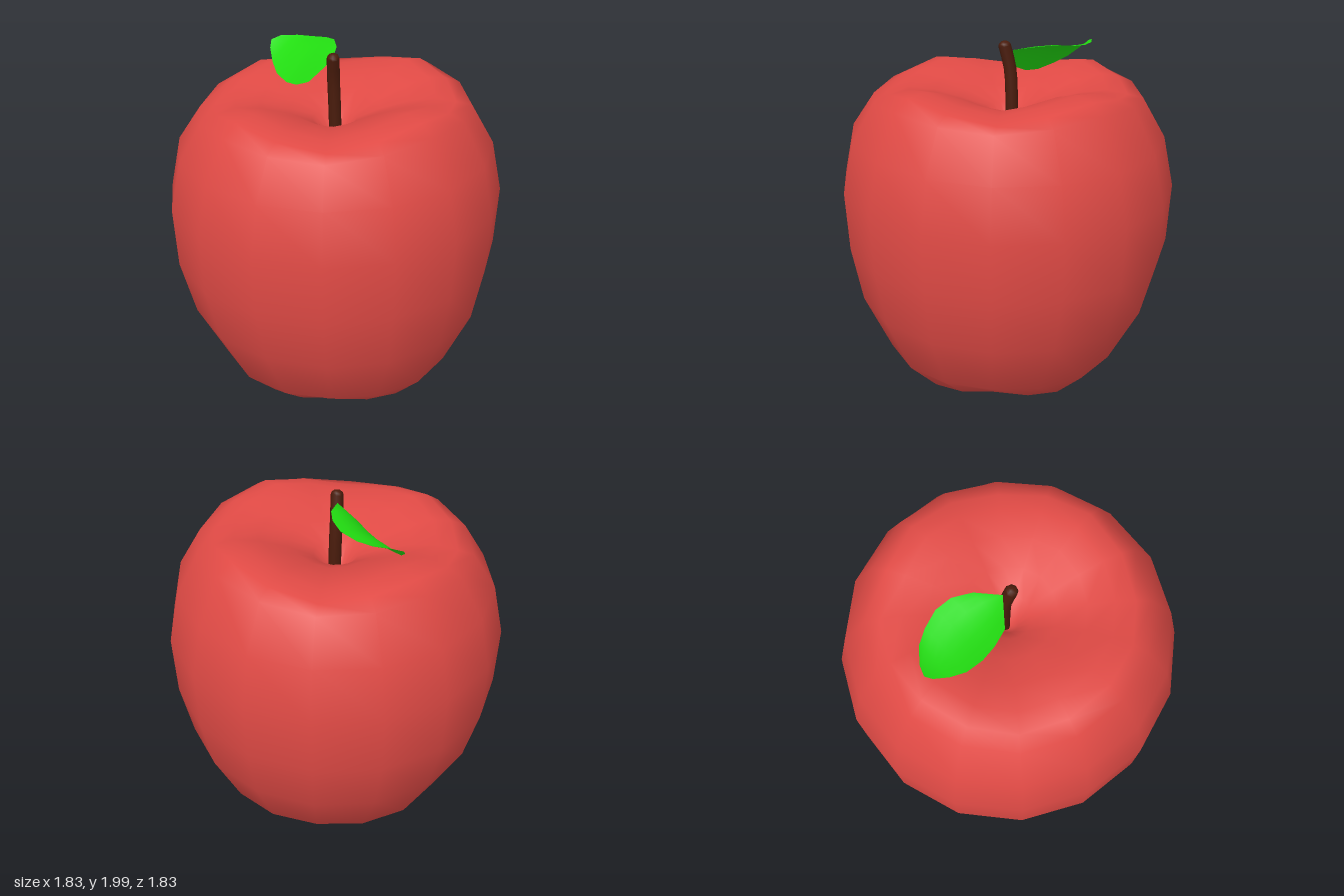
import * as THREE from 'three';
import { mergeVertices } from 'three/addons/utils/BufferGeometryUtils.js';

const material = (color, side = THREE.FrontSide) =>
  new THREE.MeshStandardMaterial({ color, side });

function addMesh(group, name, geometry, mat) {
  const mesh = new THREE.Mesh(geometry, mat);
  mesh.name = name;
  group.add(mesh);
}

// Weld the seams and smooth the normals
function smooth(geometry) {
  geometry.deleteAttribute('uv');
  geometry.deleteAttribute('normal');
  const welded = mergeVertices(geometry, 1e-4);
  welded.computeVertexNormals();
  return welded;
}

// Fruit body: a 16-sided lathe with four lobes at the top and the bottom
function bodyGeometry() {
  // radius, height, height change on the diagonals
  const profile = [
    [0, 0.16, 0], [0.08, 0.12, 0.01], [0.18, 0.06, 0.03], [0.31, 0.01, 0.06],
    [0.49, 0.065, 0.07], [0.67, 0.245, 0.02], [0.83, 0.58, 0], [0.9, 0.89, 0],
    [0.915, 1.22, 0], [0.855, 1.5, 0], [0.73, 1.74, -0.04], [0.645, 1.795, -0.075],
    [0.54, 1.815, -0.075], [0.4, 1.775, -0.05], [0.25, 1.71, -0.025],
    [0.12, 1.63, 0], [0.05, 1.54, 0], [0, 1.5, 0],
  ];
  const geometry = new THREE.LatheGeometry(
    profile.map(([r, y]) => new THREE.Vector2(r, y)), 16);
  const p = geometry.attributes.position;
  for (let i = 0; i < p.count; i++) {
    const x = p.getX(i), y = p.getY(i), z = p.getZ(i);
    const lobe = profile[i % profile.length][2] * (1 - Math.cos(4 * Math.atan2(x, z))) / 2;
    const topTilt = y > 1.6 ? -0.027 * z : 0;
    p.setY(i, y + lobe + 0.02 * x + topTilt);
    p.setX(i, x + 0.045 * Math.max(0, 1 - y / 0.9));
  }
  return smooth(geometry);
}

// Stem: a curved rod with a rounded tip
function addStem(group, mat) {
  const curve = new THREE.CatmullRomCurve3([
    new THREE.Vector3(-0.015, 1.48, -0.02), new THREE.Vector3(-0.018, 1.7, -0.015),
    new THREE.Vector3(-0.015, 1.85, -0.005), new THREE.Vector3(0.005, 1.97, 0.015),
  ]);
  addMesh(group, 'stem', new THREE.TubeGeometry(curve, 8, 0.034, 8), mat);
  const tip = new THREE.SphereGeometry(0.034, 8, 3, 0, Math.PI * 2, 0, Math.PI / 2);
  tip.scale(1, 0.8, 1);
  tip.applyQuaternion(new THREE.Quaternion().setFromUnitVectors(
    new THREE.Vector3(0, 1, 0), curve.getTangent(1)));
  tip.translate(0.005, 1.97, 0.015);
  addMesh(group, 'stemTip', tip, mat);
}

// Leaf: arched cross-sections swept from the stem to the point
function leafGeometry() {
  // x, then z and y of the low edge, the midrib and the high edge
  const sections = [
    [-0.03, -0.01, 1.945, -0.01, 1.945, -0.01, 1.945],
    [-0.12, 0.08, 1.82, -0.02, 1.93, -0.12, 1.97],
    [-0.21, 0.09, 1.78, -0.04, 1.92, -0.18, 1.975],
    [-0.3, 0.09, 1.77, -0.05, 1.905, -0.2, 1.96],
    [-0.4, 0.075, 1.79, -0.05, 1.9, -0.18, 1.945],
    [-0.48, 0.04, 1.825, -0.05, 1.895, -0.145, 1.94],
    [-0.55, 0.0, 1.88, -0.04, 1.91, -0.08, 1.935],
    [-0.575, -0.03, 1.915, -0.03, 1.915, -0.03, 1.915],
  ];
  const across = 6, positions = [], index = [];
  sections.forEach(([x, z0, y0, z1, y1, z2, y2], i) => {
    for (let j = 0; j <= across; j++) {
      // Quadratic through the three given points
      const t = j / across;
      const a = (1 - t) * (1 - 2 * t), b = 4 * t * (1 - t), c = t * (2 * t - 1);
      positions.push(x, a * y0 + b * y1 + c * y2, a * z0 + b * z1 + c * z2);
      if (i && j) {
        const k = i * (across + 1) + j, m = k - across - 1;
        index.push(m - 1, m, k - 1, m, k, k - 1);
      }
    }
  });
  const geometry = new THREE.BufferGeometry();
  geometry.setAttribute('position', new THREE.Float32BufferAttribute(positions, 3));
  geometry.setIndex(index);
  return smooth(geometry);
}

export function createModel() {
  const group = new THREE.Group();
  group.name = 'apple';
  addMesh(group, 'body', bodyGeometry(), material(0xe04a45));
  addStem(group, material(0x4a1c0c));
  addMesh(group, 'leaf', leafGeometry(), material(0x22dd11, THREE.DoubleSide));
  return group;
}
